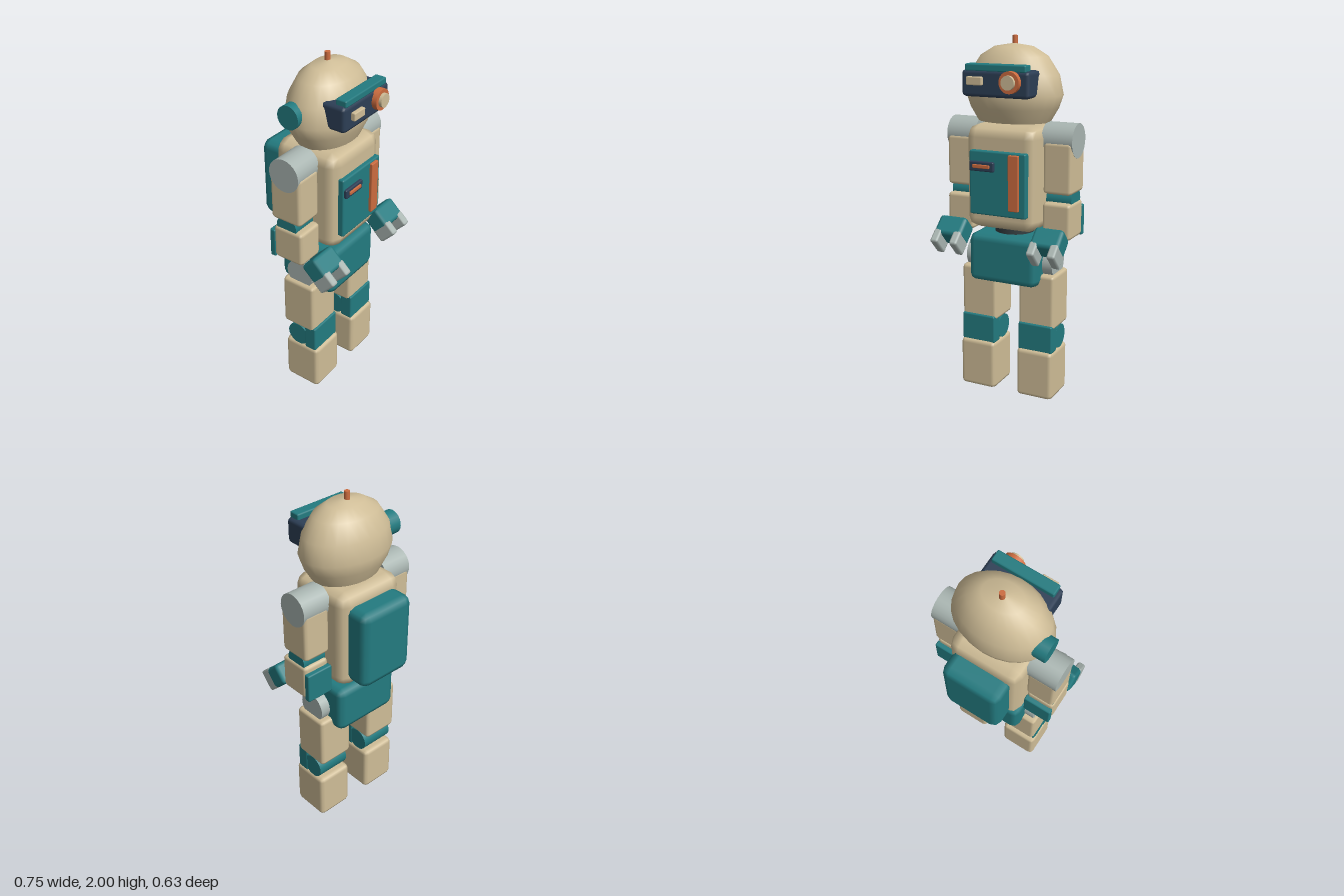
import * as THREE from 'three';
import { RoundedBoxGeometry } from 'three/addons/geometries/RoundedBoxGeometry.js';

const mat = (name, color) => {
  const m = new THREE.MeshStandardMaterial({ color });
  m.name = name;
  return m;
};

export function createModel() {
  const tan = mat('tan shell', 0xcfbd97);
  const teal = mat('teal panel', 0x237b80);
  const navy = mat('navy visor', 0x2d3f56);
  const orange = mat('orange accent', 0xcc6c3f);
  const grey = mat('grey joint', 0xa9b5b1);
  const dark = mat('dark waist', 0x343e41);

  const root = new THREE.Group();
  root.name = 'robot';

  const add = (parent, name, geometry, material) => {
    const mesh = new THREE.Mesh(geometry, material);
    mesh.name = name;
    parent.add(mesh);
    return mesh;
  };
  // Softened box given by its extents on each axis
  const box = (parent, name, material, [x0, x1], [y0, y1], [z0, z1], r = 0.02) => {
    const g = new RoundedBoxGeometry(x1 - x0, y1 - y0, z1 - z0, 1, r);
    g.translate((x0 + x1) / 2, (y0 + y1) / 2, (z0 + z1) / 2);
    return add(parent, name, g, material);
  };
  // Cylinder lying along x, y or z
  const rod = (parent, name, material, axis, r, length, x, y, z) => {
    const g = new THREE.CylinderGeometry(r, r, length, 24);
    if (axis === 'x') g.rotateZ(Math.PI / 2);
    if (axis === 'z') g.rotateX(Math.PI / 2);
    g.translate(x, y, z);
    return add(parent, name, g, material);
  };

  // Head: faceted dome, flattened front to back, with a flat base
  const head = new THREE.Group();
  head.name = 'head';
  root.add(head);
  const profile = [[0.205, 1.55], [0.25, 1.625], [0.275, 1.695], [0.253, 1.8], [0.19, 1.895], [0.11, 1.943], [0, 1.96]]
    .map(([x, y]) => new THREE.Vector2(x, y));
  const dome = new THREE.LatheGeometry(profile, 24);
  dome.scale(1, 1, 0.725);
  dome.translate(0, 0, 0.018);
  add(head, 'headDome', dome, tan);
  const base = new THREE.CircleGeometry(0.205, 24);
  base.rotateX(Math.PI / 2);
  base.scale(1, 1, 0.725);
  base.translate(0, 1.55, 0.018);
  add(head, 'headBase', base, tan);
  rod(head, 'antenna', orange, 'y', 0.015, 0.06, 0, 1.97, 0.008);
  rod(head, 'earDisc', teal, 'x', 0.065, 0.1, -0.243, 1.745, -0.02);

  // Visor and eyes
  box(head, 'visor', navy, [-0.195, 0.195], [1.693, 1.832], [0.07, 0.25], 0.02);
  box(head, 'brow', teal, [-0.175, 0.175], [1.825, 1.863], [0.182, 0.246], 0.008);
  box(head, 'slotEye', tan, [-0.15, -0.06], [1.756, 1.8], [0.255, 0.281], 0.006);
  rod(head, 'eyeRing', orange, 'z', 0.057, 0.04, 0.095, 1.777, 0.258);
  rod(head, 'eyeLens', tan, 'z', 0.037, 0.03, 0.095, 1.777, 0.28);

  // Torso, chest panel and backpack
  box(root, 'torso', tan, [-0.21, 0.21], [0.97, 1.54], [-0.19, 0.205], 0.065);
  box(root, 'chestPanel', teal, [-0.165, 0.168], [1.06, 1.41], [0.18, 0.23], 0.01);
  box(root, 'chestStripe', orange, [0.072, 0.132], [1.1, 1.4], [0.22, 0.247], 0.005);
  box(root, 'chestSlot', navy, [-0.158, -0.012], [1.3, 1.354], [0.22, 0.245], 0.008);
  box(root, 'slotLight', orange, [-0.135, -0.035], [1.318, 1.338], [0.238, 0.253], 0.004);
  box(root, 'backpack', teal, [-0.17, 0.17], [1.02, 1.475], [-0.312, -0.15], 0.045);

  // Waist and hips
  rod(root, 'waist', dark, 'y', 0.11, 0.13, 0, 0.955, 0.01);
  box(root, 'hips', teal, [-0.205, 0.205], [0.66, 0.935], [-0.165, 0.185], 0.04);

  for (const s of [1, -1]) {
    const span = (a, b) => (s > 0 ? [a, b] : [-b, -a]);
    const side = s > 0 ? 'left' : 'right';

    // Arm
    const arm = new THREE.Group();
    arm.name = side + 'Arm';
    root.add(arm);
    rod(arm, 'shoulder', grey, 'x', 0.093, 0.175, s * 0.285, 1.463, 0.008);
    box(arm, 'upperArm', tan, span(0.208, 0.371), [1.18, 1.46], [-0.085, 0.105]);
    rod(arm, 'elbow', teal, 'x', 0.064, 0.145, s * 0.289, 1.145, 0.008);
    box(arm, 'forearm', tan, span(0.208, 0.371), [0.935, 1.135], [-0.072, 0.112]);
    box(arm, 'forearmPlate', teal, span(0.208, 0.371), [0.93, 1.1], [-0.1, -0.065], 0.008);

    // Hand tilted forward and down, with two fingers; local +z points along the fingers
    const hand = new THREE.Group();
    hand.name = side + 'Hand';
    hand.position.set(s * 0.289, 0.938, 0.193);
    hand.rotation.x = Math.PI / 4.2;
    arm.add(hand);
    box(hand, 'palm', teal, [-0.084, 0.084], [-0.06, 0.06], [-0.065, 0.058]);
    for (const x of [-0.059, 0.059]) {
      box(hand, 'finger', grey, [x - 0.023, x + 0.023], [-0.06, 0.062], [0.03, 0.117], 0.012);
    }

    // Leg
    const leg = new THREE.Group();
    leg.name = side + 'Leg';
    root.add(leg);
    rod(leg, 'hipJoint', grey, 'x', 0.085, 0.16, s * 0.183, 0.778, 0.01);
    box(leg, 'thigh', tan, span(0.07, 0.284), [0.41, 0.725], [-0.095, 0.115]);
    rod(leg, 'knee', teal, 'x', 0.069, 0.2, s * 0.177, 0.345, 0.002);
    box(leg, 'kneePad', teal, span(0.075, 0.28), [0.275, 0.437], [0.05, 0.126], 0.01);
    box(leg, 'shin', tan, span(0.068, 0.286), [0, 0.285], [-0.085, 0.142], 0.025);
  }
  return root;
}
